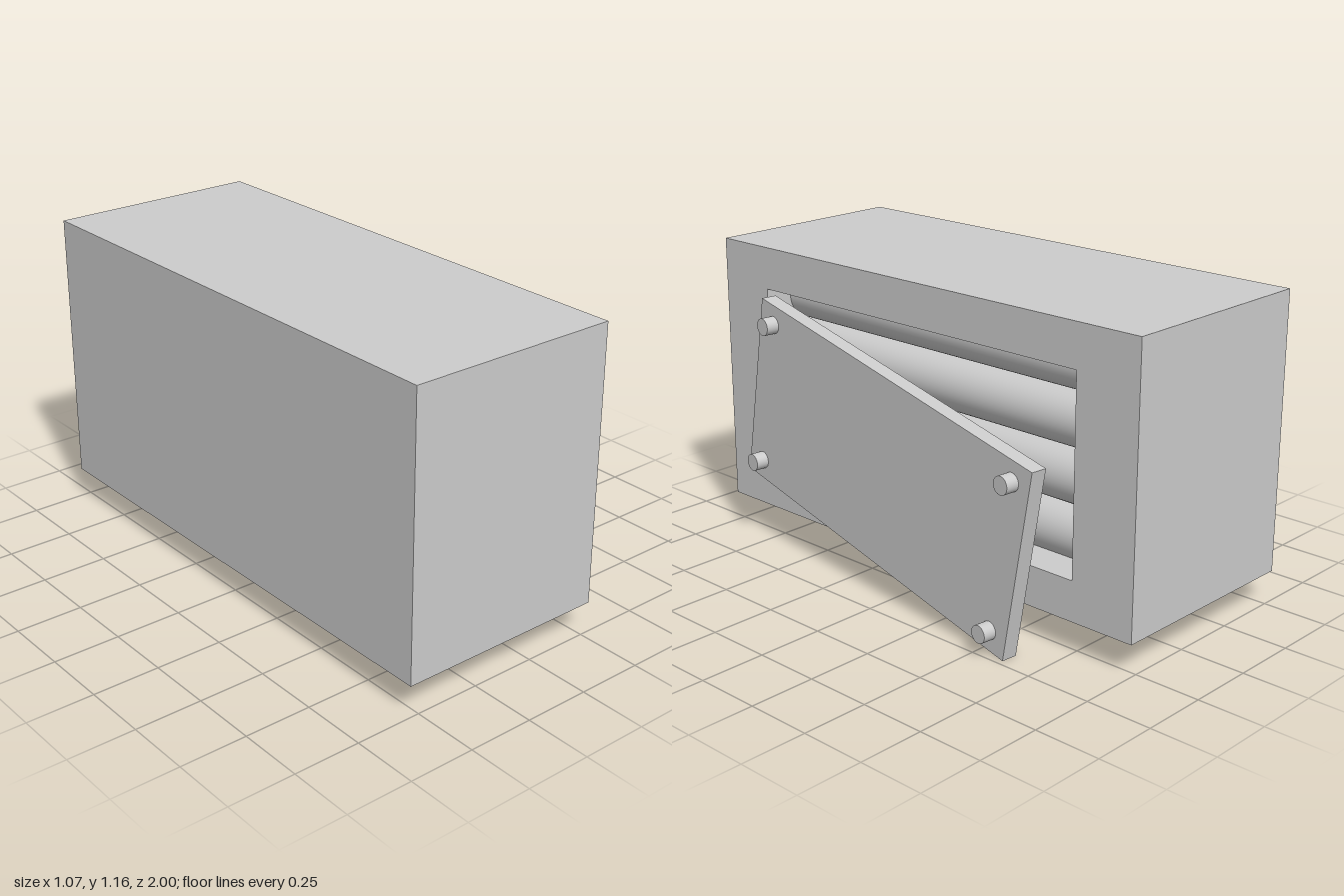
import * as THREE from 'three';

export function createModel() {
  const group = new THREE.Group();
  const mat = new THREE.MeshStandardMaterial({ color: 0xcccccc });
  const add = (parent, name, geo, x, y, z) => {
    const m = new THREE.Mesh(geo, mat);
    m.name = name;
    m.position.set(x, y, z);
    parent.add(m);
    return m;
  };

  // Rear block of the casing
  const left = -0.535, right = 0.28, back = -0.04;
  add(group, 'casingBlock', new THREE.BoxGeometry(back - left, 1.04, 2), (left + back) / 2, 0.64, 0);

  // Casing front with a rectangular opening (shape x maps to -z)
  const rect = (S, z0, z1, y0, y1) => new S([
    new THREE.Vector2(-z1, y0), new THREE.Vector2(-z0, y0),
    new THREE.Vector2(-z0, y1), new THREE.Vector2(-z1, y1)]);
  const outline = rect(THREE.Shape, -1, 1, 0.12, 1.16);
  outline.holes.push(rect(THREE.Path, -0.745, 0.765, 0.27, 1.0));
  const frame = new THREE.ExtrudeGeometry(outline, { depth: right - back, bevelEnabled: false });
  frame.rotateY(Math.PI / 2);
  add(group, 'casingFrame', frame, back, 0, 0);

  // Stack of cells lying inside the opening
  const radius = 0.1025;
  const cell = new THREE.CylinderGeometry(radius, radius, 1.51, 48).rotateX(Math.PI / 2);
  for (let i = 0; i < 4; i++) add(group, 'cell', cell, 0.065, 0.958 - i * 2 * radius, 0.01);

  // Loose cover hanging askew, with a screw in each corner
  const cover = new THREE.Group();
  cover.name = 'cover';
  cover.position.set(0.382, 0.494, 0.0475);
  cover.rotation.set(-0.184, -0.1, 0, 'YXZ');
  group.add(cover);
  add(cover, 'coverPlate', new THREE.BoxGeometry(0.06, 0.72, 1.5), 0, 0, 0);
  const screw = new THREE.CylinderGeometry(0.033, 0.033, 0.06, 32).rotateZ(-Math.PI / 2);
  for (const y of [-0.285, 0.285])
    for (const z of [-0.667, 0.667]) add(cover, 'screw', screw, 0.05, y, z);

  return group;
}
